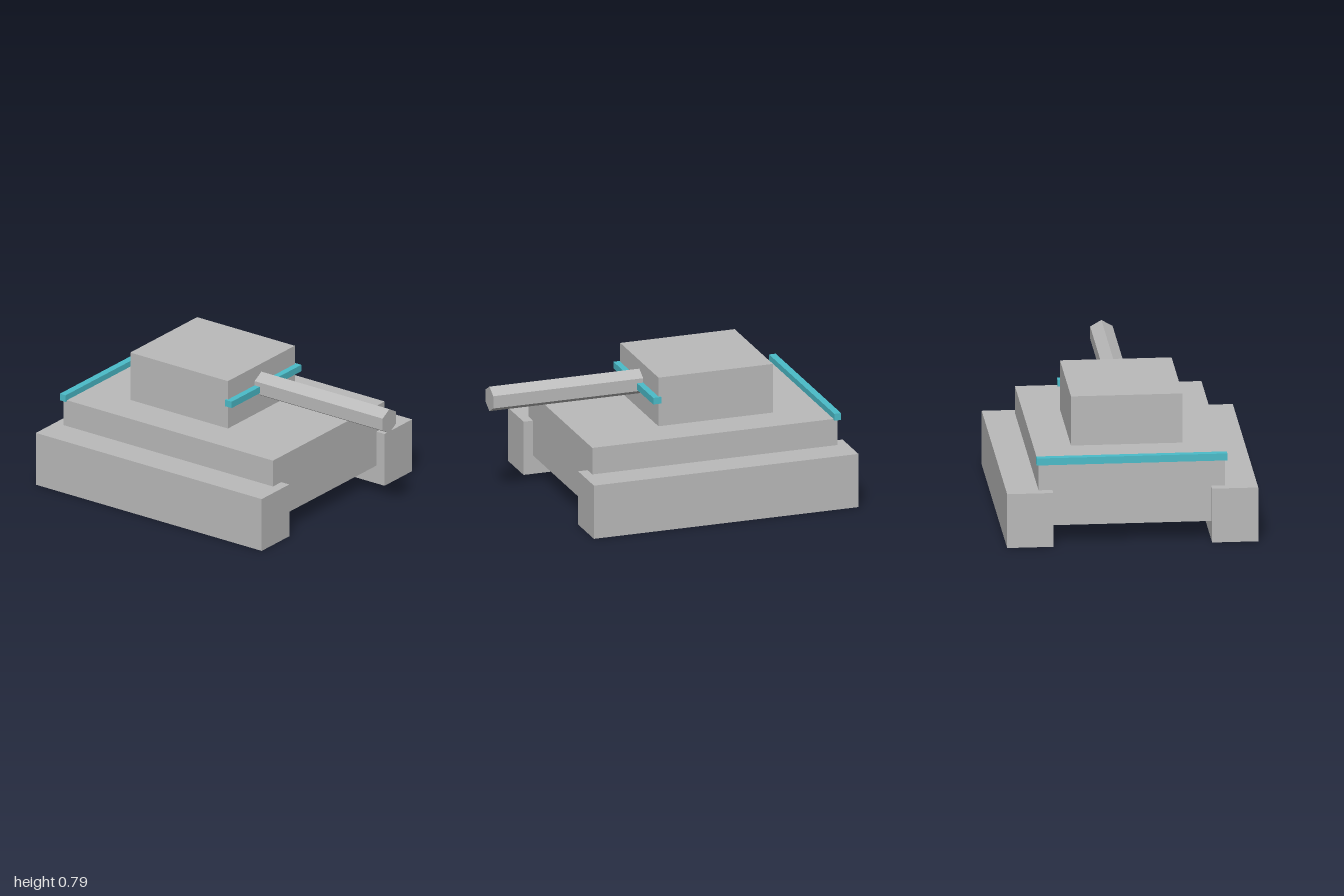
import * as THREE from 'three';

export function createModel() {
  const model = new THREE.Group();
  model.name = 'tank';

  const armour = new THREE.MeshStandardMaterial({ color: 0xbababa });
  armour.name = 'armour grey';
  const trim = new THREE.MeshStandardMaterial({ color: 0x4bbcc9 });
  trim.name = 'trim teal';

  // Box given by its extents along each axis
  function box(name, material, [x0, x1], [y0, y1], [z0, z1]) {
    const mesh = new THREE.Mesh(new THREE.BoxGeometry(x1 - x0, y1 - y0, z1 - z0), material);
    mesh.position.set((x0 + x1) / 2, (y0 + y1) / 2, (z0 + z1) / 2);
    mesh.name = name;
    model.add(mesh);
    return mesh;
  }

  // Tracks
  box('leftTrack', armour, [0.46, 0.727], [0, 0.325], [-1, 0.623]);
  box('rightTrack', armour, [-0.727, -0.46], [0, 0.325], [-1, 0.623]);

  // Hull and turret
  box('hull', armour, [-0.54, 0.54], [0.112, 0.487], [-0.941, 0.565]);
  box('turret', armour, [-0.323, 0.323], [0.49, 0.787], [-0.622, 0.08]);

  // Coloured strips on the turret front and the hull's rear edge
  box('turretStrip', trim, [-0.337, 0.337], [0.632, 0.672], [0.068, 0.117]);
  box('rearStrip', trim, [-0.552, 0.552], [0.48, 0.522], [-0.957, -0.916]);

  // Six-sided gun barrel, one edge up
  const barrel = new THREE.Mesh(
    new THREE.CylinderGeometry(0.075, 0.075, 0.92, 6).toNonIndexed(), armour);
  barrel.geometry.computeVertexNormals();
  barrel.rotation.x = Math.PI / 2;
  barrel.position.set(0, 0.661, 0.54);
  barrel.name = 'gunBarrel';
  model.add(barrel);

  return model;
}
